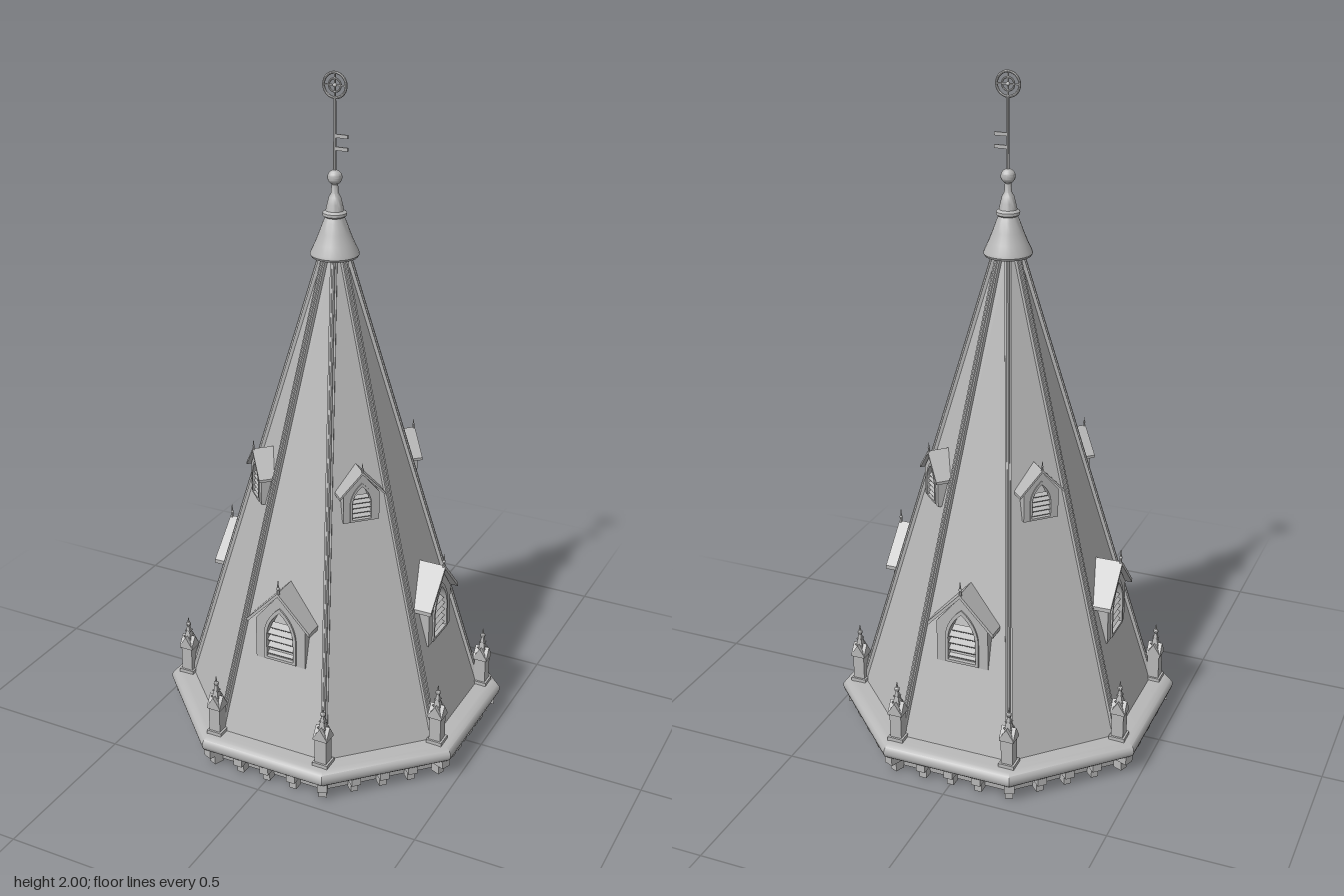
import * as THREE from 'three';
import { toCreasedNormals } from 'three/addons/utils/BufferGeometryUtils.js';

const COS8 = Math.cos(Math.PI / 8);
const stone = new THREE.MeshStandardMaterial({ color: 0xb8b8b8 });
stone.name = 'stone grey';

function add(parent, name, geo, x = 0, y = 0, z = 0) {
  const mesh = new THREE.Mesh(toCreasedNormals(geo, 0.6), stone);
  mesh.name = name;
  mesh.position.set(x, y, z);
  parent.add(mesh);
  return mesh;
}

function group(parent, name, x = 0, y = 0, z = 0) {
  const g = new THREE.Group();
  g.name = name;
  g.position.set(x, y, z);
  parent.add(g);
  return g;
}

const vecs = (pts) => pts.map(([x, y]) => new THREE.Vector2(x, y));
const box = (w, h, d) => new THREE.BoxGeometry(w, h, d);
const rod = (r0, r1, h, n = 8) => new THREE.CylinderGeometry(r1, r0, h, n);
const ball = (r) => new THREE.SphereGeometry(r, 14, 10);
// octagonal sweep of [apothem, height] points, flats facing the axes
const octLathe = (pts) => new THREE.LatheGeometry(vecs(pts.map(([a, y]) => [a / COS8, y])), 8, Math.PI / 8);
// front face of the extrusion lies at z = 0
const extrude = (shape, depth) =>
  new THREE.ExtrudeGeometry(shape, { depth, bevelEnabled: false, curveSegments: 8 }).translate(0, 0, -depth);

// pointed arch: straight jambs and two curved flanks
function arch(path, w, base, spring, top) {
  path.moveTo(-w, base);
  path.lineTo(w, base);
  path.lineTo(w, spring);
  path.quadraticCurveTo(w * 0.9, spring + (top - spring) * 0.6, 0, top);
  path.quadraticCurveTo(-w * 0.9, spring + (top - spring) * 0.6, -w, spring);
  path.lineTo(-w, base);
  return path;
}

function buildDormer(parent, angle, apothem, y, scale) {
  const pivot = group(parent, 'dormer');
  pivot.rotation.y = angle;
  const d = group(pivot, 'dormerBody', 0, y, apothem);
  d.scale.setScalar(scale);

  const wall = new THREE.Shape(vecs([[-0.08, 0], [0.08, 0], [0.08, 0.13], [0, 0.225], [-0.08, 0.13]]));
  wall.holes.push(arch(new THREE.Path(), 0.043, 0.012, 0.085, 0.165));
  add(d, 'dormerWall', extrude(wall, 0.08));

  const frame = arch(new THREE.Shape(), 0.052, 0.004, 0.087, 0.18);
  frame.holes.push(arch(new THREE.Path(), 0.043, 0.012, 0.085, 0.165));
  add(d, 'archFrame', extrude(frame, 0.008), 0, 0, 0.005);

  for (let i = 0; i < 5; i++) {
    const slat = add(d, 'louvre', box(i < 4 ? 0.086 : 0.066, 0.005, 0.02), 0, 0.024 + i * 0.022, -0.011);
    slat.rotation.x = 0.55;
  }

  const roof = new THREE.Shape(vecs([[-0.102, 0.117], [0, 0.224], [0.102, 0.117], [0.102, 0.129], [0, 0.236], [-0.102, 0.129]]));
  add(d, 'dormerRoof', extrude(roof, 0.1), 0, 0, 0.015);
  add(d, 'dormerSpike', rod(0.005, 0.001, 0.045, 6), 0, 0.252, 0.009);
  add(d, 'dormerSpikeBead', ball(0.005), 0, 0.25, 0.009);
}

function buildPinnacle(parent, x, z) {
  const p = group(parent, 'pinnacle', x, 0.1, z);
  add(p, 'plinth', box(0.048, 0.014, 0.048), 0, 0.007, 0);
  add(p, 'shaft', box(0.036, 0.09, 0.036), 0, 0.055, 0);
  add(p, 'band', box(0.044, 0.007, 0.044), 0, 0.094, 0);
  // crossed gables on the four sides
  const gable = new THREE.Shape(vecs([[-0.022, 0], [0.022, 0], [0, 0.034]]));
  for (let i = 0; i < 2; i++)
    add(p, 'gable', extrude(gable, 0.044).translate(0, 0, 0.022).rotateY(i * Math.PI / 2), 0, 0.097, 0);
  add(p, 'spirelet', new THREE.CylinderGeometry(0.003, 0.02, 0.075, 4).rotateY(Math.PI / 4), 0, 0.135, 0);
  // crockets climbing the four edges
  for (let k = 0; k < 3; k++) {
    for (let i = 0; i < 4; i++) {
      const a = Math.PI / 4 + i * Math.PI / 2, r = 0.019 - k * 0.0048;
      add(p, 'crocket', new THREE.OctahedronGeometry(0.004), Math.sin(a) * r, 0.108 + k * 0.02, Math.cos(a) * r);
    }
  }
  add(p, 'finialBead', new THREE.SphereGeometry(0.008, 8, 6), 0, 0.17, 0);
  add(p, 'finialTip', rod(0.004, 0.001, 0.022, 6), 0, 0.182, 0);
}

export function createModel() {
  const model = new THREE.Group();
  model.name = 'towerSpire';

  // base ring and rounded cornice
  add(model, 'cornice', octLathe([
    [0.39, 0.102], [0.39, 0.005], [0.42, 0.005], [0.425, 0.045], [0.455, 0.052], [0.468, 0.056], [0.477, 0.064],
    [0.48, 0.075], [0.479, 0.086], [0.473, 0.095], [0.463, 0.101], [0.45, 0.103], [0.405, 0.104],
  ]));

  // corbels: three on each side and one at each corner
  for (let i = 0; i < 8; i++) {
    const side = group(model, 'corbelSide');
    side.rotation.y = i * Math.PI / 4;
    for (const x of [-0.088, 0, 0.088]) {
      add(side, 'corbel', box(0.028, 0.026, 0.055), x, 0.043, 0.437);
      add(side, 'corbelFoot', box(0.022, 0.03, 0.03), x, 0.015, 0.433);
    }
    const corner = group(side, 'corbelCorner');
    corner.rotation.y = Math.PI / 8;
    add(corner, 'corbel', box(0.03, 0.026, 0.055), 0, 0.043, 0.475);
    add(corner, 'corbelFoot', box(0.024, 0.03, 0.03), 0, 0.015, 0.468);
  }

  // eight-sided roof
  const y0 = 0.1, y1 = 1.5, r0 = 0.415 / COS8, r1 = 0.03 / COS8;
  add(model, 'spireRoof', new THREE.CylinderGeometry(r1, r0, y1 - y0, 8, 1, false, Math.PI / 8), 0, (y0 + y1) / 2, 0);

  // hip ribs along the edges, with a corner pinnacle below each
  const lean = Math.atan2(r0 - r1, y1 - y0), len = Math.hypot(r0 - r1, y1 - y0);
  for (let i = 0; i < 8; i++) {
    const a = Math.PI / 8 + i * Math.PI / 4;
    const hip = group(model, 'hip');
    hip.rotation.y = a;
    const ym = (y0 + y1) / 2, rm = (r0 + r1) / 2;
    add(hip, 'hipRib', box(0.02, len, 0.012).rotateX(-lean), 0, ym, rm);
    add(hip, 'hipRoll', rod(0.005, 0.005, len).rotateX(-lean), 0, ym, rm + 0.006);
    buildPinnacle(model, Math.sin(a) * 0.46, Math.cos(a) * 0.46);
  }

  // large low dormers on the main sides, small high ones on the diagonals
  for (let i = 0; i < 4; i++) {
    buildDormer(model, i * Math.PI / 2, 0.35, 0.35, 1);
    buildDormer(model, Math.PI / 4 + i * Math.PI / 2, 0.242, 0.768, 0.67);
  }

  // bell-shaped cap
  const cap = [[0, 1.485], [0.066, 1.485], [0.07, 1.492], [0.068, 1.5], [0.056, 1.525], [0.044, 1.555], [0.033, 1.585],
    [0.027, 1.598], [0.034, 1.603], [0.034, 1.611], [0.026, 1.617], [0.022, 1.635], [0.017, 1.655], [0.011, 1.665],
    [0.009, 1.69], [0, 1.695]];
  add(model, 'cap', new THREE.LatheGeometry(vecs(cap), 24));

  // mast with ball, side bars and wheel
  const mast = group(model, 'mast');
  add(mast, 'mastBall', ball(0.021), 0, 1.71, 0);
  add(mast, 'mastRod', rod(0.005, 0.004, 0.24), 0, 1.81, 0);
  for (const y of [1.79, 1.825]) add(mast, 'sideBar', box(0.04, 0.01, 0.005), 0.02, y, 0);
  const wheel = group(mast, 'wheel', 0, 1.962, 0);
  add(wheel, 'outerRing', new THREE.TorusGeometry(0.034, 0.004, 8, 28));
  add(wheel, 'innerRing', new THREE.TorusGeometry(0.018, 0.003, 8, 24));
  add(wheel, 'hub', ball(0.006));
  for (let i = 0; i < 2; i++) add(wheel, 'spoke', box(0.068, 0.004, 0.004).rotateZ(i * Math.PI / 2));

  return model;
}
